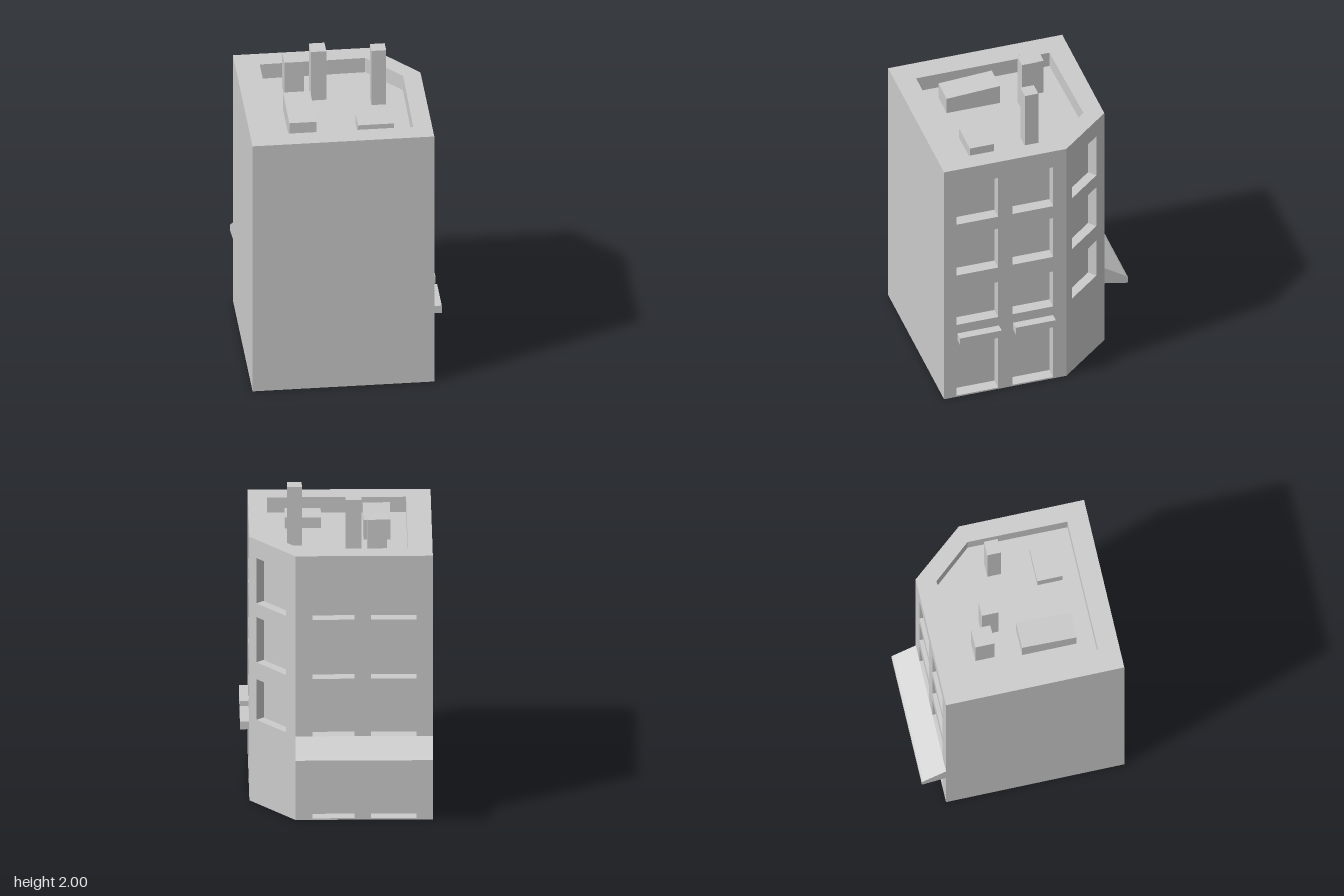
import * as THREE from 'three';

const material = new THREE.MeshStandardMaterial({ color: 0xcccccc, flatShading: true });

// Plan outlines as [x, z]
const footprint = [[-0.585, 0.63], [0.525, 0.63], [0.525, -0.15], [0.25, -0.48], [-0.585, -0.48]];
const parapetInner = [[-0.435, 0.5], [0.41, 0.5], [0.415, -0.12], [0.21, -0.36], [-0.435, -0.35]];
const coreOutline = [[-0.585, 0.63], [0.45, 0.63], [0.45, -0.146], [0.234, -0.405], [-0.585, -0.405]];

const BASE = 0.005, ROOF = 1.62, TOP = 1.72;
const windowRows = [[0.545, 0.81], [0.92, 1.215], [1.305, 1.6]];
const doorRow = [0.01, 0.43];

function add(group, name, geometry) {
  const mesh = new THREE.Mesh(geometry, material);
  mesh.name = name;
  group.add(mesh);
  return mesh;
}

// Upright prism from a plan outline, with an optional opening
function prism(outline, y0, y1, opening) {
  const points = (list) => list.map(([x, z]) => new THREE.Vector2(x, -z));
  const shape = new THREE.Shape(points(outline));
  if (opening) shape.holes.push(new THREE.Path(points(opening)));
  return new THREE.ExtrudeGeometry(shape, { depth: y1 - y0, bevelEnabled: false })
    .rotateX(-Math.PI / 2).translate(0, y0, 0);
}

function rectangle(PathType, u0, u1, v0, v1) {
  return new PathType([[u0, v0], [u1, v0], [u1, v1], [u0, v1]].map((p) => new THREE.Vector2(...p)));
}

// Wall panel from corner a to corner b, pierced by every column in every row
function facade(a, b, depth, columns, rows) {
  const dx = b[0] - a[0], dz = b[1] - a[1];
  const shape = rectangle(THREE.Shape, 0, Math.hypot(dx, dz), BASE, ROOF);
  for (const [u0, u1] of columns) {
    for (const [v0, v1] of rows) shape.holes.push(rectangle(THREE.Path, u0, u1, v0, v1));
  }
  return new THREE.ExtrudeGeometry(shape, { depth, bevelEnabled: false })
    .translate(0, 0, -depth).rotateY(Math.atan2(-dz, dx)).translate(a[0], 0, a[1]);
}

function box(x0, x1, y0, y1, z0, z1) {
  return new THREE.BoxGeometry(x1 - x0, y1 - y0, z1 - z0)
    .translate((x0 + x1) / 2, (y0 + y1) / 2, (z0 + z1) / 2);
}

// Profile in the z-y plane, swept from x0 to x1
function sweepAlongX(profile, x0, x1) {
  const shape = new THREE.Shape(profile.map(([z, y]) => new THREE.Vector2(-z, y)));
  return new THREE.ExtrudeGeometry(shape, { depth: x1 - x0, bevelEnabled: false })
    .rotateY(Math.PI / 2).translate(x0, 0, 0);
}

export function createModel() {
  const model = new THREE.Group();
  model.name = 'cornerBuilding';

  // Body: floor slab, solid core up to the roof deck, and parapet ring
  add(model, 'base', prism(footprint, 0, BASE));
  add(model, 'core', prism(coreOutline, BASE, ROOF));
  add(model, 'parapet', prism(footprint, ROOF, TOP, parapetInner));

  // Street facades with recessed windows and doors
  const [, frontCorner, sideCorner, backCorner, farCorner] = footprint;
  const sideColumns = [[0.08, 0.345], [0.435, 0.695]];
  const backColumns = [[0.105, 0.36], [0.46, 0.737]];
  add(model, 'sideFacade', facade(frontCorner, sideCorner, 0.075, sideColumns, [doorRow, ...windowRows]));
  add(model, 'cornerFacade', facade(sideCorner, backCorner, 0.06, [[0.065, 0.34]], windowRows));
  add(model, 'backFacade', facade(backCorner, farCorner, 0.075, backColumns, [doorRow, ...windowRows]));

  // Small canopies above the side doors
  for (const [z0, z1] of [[0.28, 0.545], [-0.065, 0.19]]) {
    add(model, 'doorCanopy', box(0.525, 0.58, 0.43, 0.48, z0, z1));
  }

  // Sloping awning along the back
  const awning = [[-0.48, 0.545], [-0.617, 0.455], [-0.63, 0.445], [-0.63, 0.4], [-0.48, 0.43]];
  add(model, 'awning', sweepAlongX(awning, -0.585, 0.25));

  // Roof: chimneys, low vent and sloped hatch
  add(model, 'shortChimney', box(-0.31, -0.19, ROOF, 1.86, -0.235, -0.115));
  add(model, 'middleChimney', box(-0.155, -0.06, ROOF, 1.96, -0.16, -0.055));
  add(model, 'tallChimney', box(0.205, 0.295, ROOF, 2, -0.045, 0.04));
  add(model, 'roofVent', box(0.085, 0.305, ROOF, 1.69, 0.24, 0.395));
  const hatch = [[0.05, ROOF], [0.39, ROOF], [0.39, 1.728], [0.05, 1.748]];
  add(model, 'roofHatch', sweepAlongX(hatch, -0.335, -0.17));

  return model;
}
